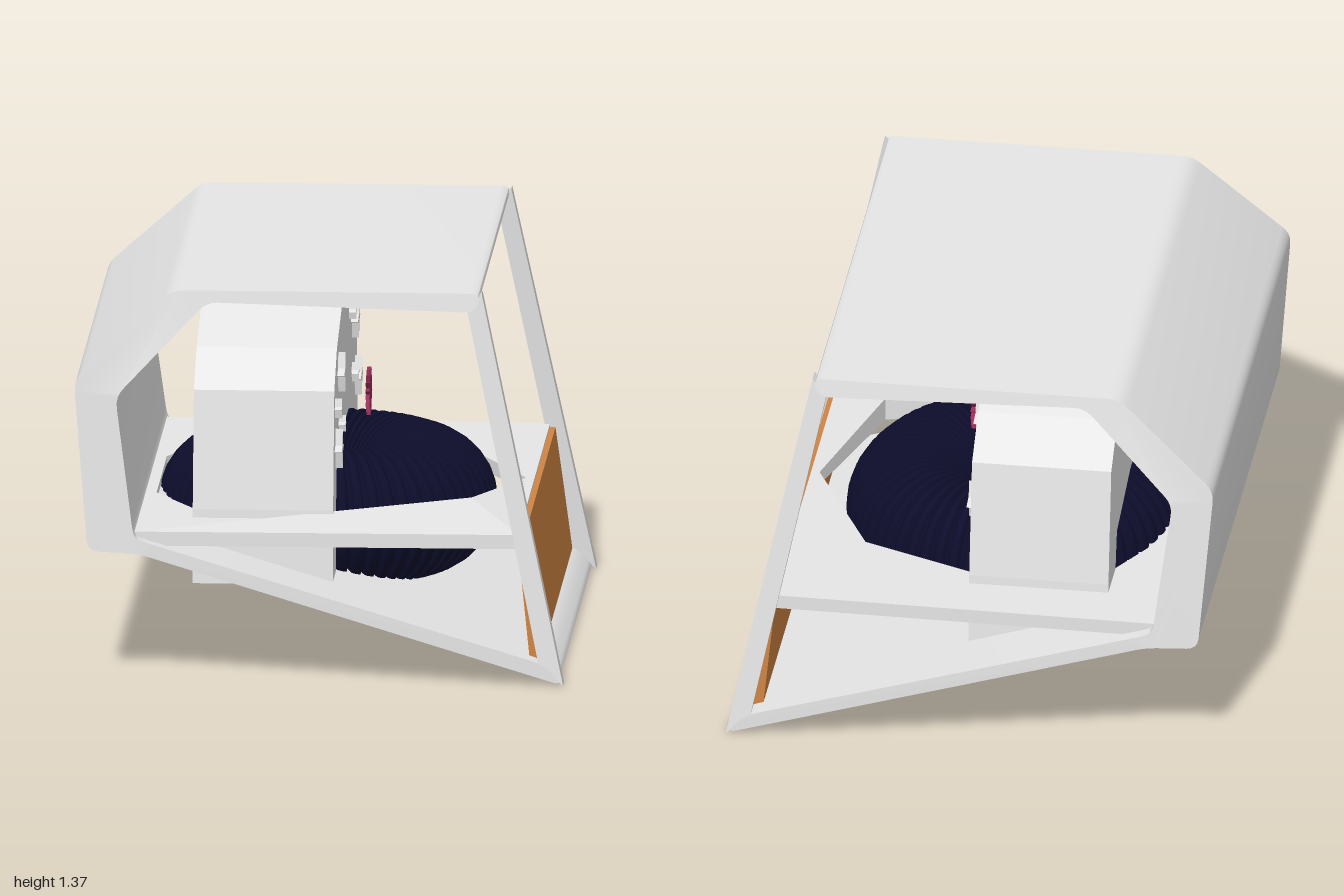
import * as THREE from 'three';
import { toCreasedNormals } from 'three/addons/utils/BufferGeometryUtils.js';

const mat = (name, color) => new THREE.MeshStandardMaterial({ name, color });

// Closed outline from points; r rounds each corner
function outline(pts, r = 0) {
  const s = new THREE.Shape();
  if (!r) return s.setFromPoints(pts.map(p => new THREE.Vector2(...p)));
  const v = pts.map(p => new THREE.Vector2(...p));
  v.forEach((p, i) => {
    const prev = v[(i + v.length - 1) % v.length], next = v[(i + 1) % v.length];
    const toward = q => q.clone().sub(p).setLength(Math.min(r, q.distanceTo(p) * 0.45)).add(p);
    const a = toward(prev), b = toward(next);
    if (i) s.lineTo(a.x, a.y); else s.moveTo(a.x, a.y);
    s.quadraticCurveTo(p.x, p.y, b.x, b.y);
  });
  s.closePath();
  return s;
}

const extrude = (shape, depth) =>
  new THREE.ExtrudeGeometry(shape, { depth, bevelEnabled: false, curveSegments: 4 });

// Half width of the shell narrows toward the roof
function halfWidth(y) {
  if (y < 0.46) return 1;
  if (y < 1.06) return 1 - 0.05 * (y - 0.46) / 0.6;
  return 0.95 - 0.055 * (y - 1.06) / 0.31;
}

// Extrude a side profile between two z values, then follow the narrowing
function sideProfile(shape, z0, z1) {
  const g = extrude(shape, z1 - z0).translate(0, 0, z0);
  const p = g.attributes.position;
  for (let i = 0; i < p.count; i++) p.setZ(i, p.getZ(i) * halfWidth(p.getY(i)));
  g.computeVertexNormals();
  return g;
}

// Outline given as (z, y), extruded along x from x0
function facingX(pts, x0, depth) {
  return extrude(outline(pts.map(([z, y]) => [-z, y])), depth).rotateY(Math.PI / 2).translate(x0, 0, 0);
}

function starPoints(z, y, points, outer, inner) {
  return Array.from({ length: points * 2 }, (_, i) => {
    const a = i * Math.PI / points, r = i % 2 ? inner : outer;
    return [z + Math.sin(a) * r, y + Math.cos(a) * r];
  });
}

export function createModel() {
  const model = new THREE.Group();
  const white = mat('white shell', 0xe6e6e6);
  const orange = mat('orange panel', 0xd18543);
  const navy = mat('navy cushion', 0x0d0d2c);
  const pink = mat('crimson star', 0x9c2f58);
  const black = mat('black', 0x0a0a0a);
  const add = (name, geo, m) => {
    const mesh = new THREE.Mesh(geo, m);
    mesh.name = name;
    model.add(mesh);
    return mesh;
  };

  // Roof, sloped back, back wall and sloping floor in one thick section
  const shell = outline([
    [0.56, 1.37], [-0.52, 1.37], [-0.86, 1.06], [-0.81, 0.46], [-0.63, 0.45], [0.85, 0],
    [0.78, 0.075], [-0.62, 0.495], [-0.65, 0.51], [-0.715, 1.0], [-0.4, 1.33], [0.535, 1.305],
  ], 0.04);
  add('shell', toCreasedNormals(sideProfile(shell, -1, 1), 0.6), white);

  // Slanted posts at the open side
  const post = outline([[0.56, 1.37], [0.51, 1.31], [0.765, 0.07], [0.85, 0]]);
  add('leftPost', sideProfile(post, 0.94, 1), white);
  add('rightPost', sideProfile(post, -1, -0.94), white);

  // Shelf with an angular opening around the cushion
  const shelfShape = outline([[-0.655, -0.95], [0.69, -0.93], [0.69, 0.93], [-0.655, 0.95]]);
  const opening = [
    [0.66, 0.02], [0.5, -0.48], [0, -0.66], [-0.44, -0.6], [-0.61, -0.3],
    [-0.61, 0.3], [-0.44, 0.6], [0, 0.68], [0.43, 0.5],
  ];
  shelfShape.holes.push(outline(opening));
  const shelf = extrude(shelfShape, 0.05).rotateX(-Math.PI / 2).translate(0, 0.47, 0);
  const sp = shelf.attributes.position;
  for (let i = 0; i < sp.count; i++) { // one slightly raised corner of the opening
    if (sp.getY(i) > 0.5 && Math.hypot(sp.getX(i) - 0.5, sp.getZ(i) - 0.48) < 0.01) sp.setY(i, 0.555);
  }
  shelf.computeVertexNormals();
  add('shelf', shelf, white);

  // Panel below the shelf
  const panel = outline([[0.685, 0.51], [0.71, 0.51], [0.775, 0.02], [0.735, 0.02]]);
  add('frontPanel', sideProfile(panel, -0.925, 0.925), orange);

  // Arched backrest
  const half = [
    [0.185, 1.175], [0.5, 1.08], [0.655, 0.96], [0.725, 0.55], [0.745, 0.29],
    [0.57, 0.29], [0.55, 0.52], [0.515, 0.65], [0.185, 0.72],
  ];
  const arch = [
    ...half.map(([z, y]) => [z - 0.02, y]),
    ...half.slice().reverse().map(([z, y]) => [-z - 0.02, y]),
  ];
  add('backrest', facingX(arch, -0.46, 0.49), white);

  // Four-pointed sparkles on the backrest
  const sparkles = [
    [0.40, 0.98, 0.07], [0.59, 0.89, 0.035], [0.37, 0.79, 0.03], [0.555, 0.74, 0.07],
    [-0.24, 1.06, 0.03], [-0.40, 1.0, 0.07], [-0.39, 0.81, 0.035], [-0.57, 0.76, 0.07],
  ];
  for (const [z, y, r] of sparkles) {
    add('sparkle', facingX(starPoints(z, y, 4, r, r * 0.28), 0.03, 0.025), white);
  }

  // Spiky emblem floating in front of the backrest
  add('spikyStar', facingX(starPoints(-0.01, 0.825, 18, 0.085, 0.06), 0.105, 0.014), pink);

  // Ribbed ring cushion: narrow grooves cut into a torus
  const ribs = 64, steps = 6, R = 0.35, r = 0.24;
  const ring = new THREE.TorusGeometry(R, r, 28, ribs * steps);
  const tp = ring.attributes.position;
  for (let i = 0; i < tp.count; i++) {
    const seg = i % (ribs * steps + 1);
    const k = seg % steps === 0 ? 0.83 : (seg % steps === 1 || seg % steps === steps - 1 ? 0.985 : 1);
    const a = seg / (ribs * steps) * Math.PI * 2;
    const d = R + (Math.hypot(tp.getX(i), tp.getY(i)) - R) * k;
    tp.setXYZ(i, Math.cos(a) * d, Math.sin(a) * d, tp.getZ(i) * k);
  }
  ring.computeVertexNormals();
  ring.rotateX(Math.PI / 2).translate(-0.03, 0.44, -0.02);
  add('ringCushion', ring, navy);

  // Thin stem under the floor
  add('stem', new THREE.CylinderGeometry(0.006, 0.006, 0.3, 8).translate(0.06, 0.27, -0.1), black);

  return model;
}
